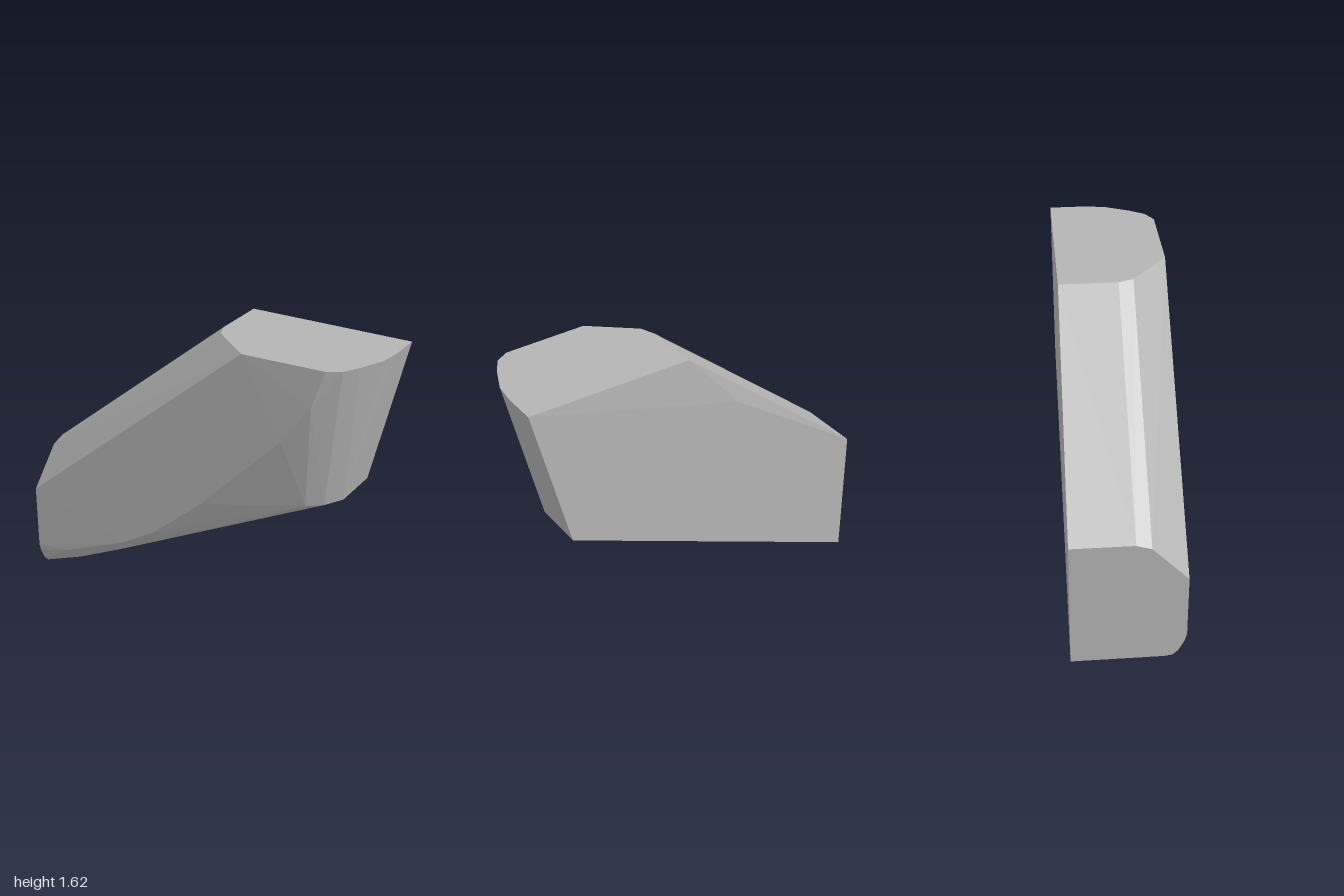
import * as THREE from 'three';
import { ConvexGeometry } from 'three/addons/geometries/ConvexGeometry.js';

export function createModel() {
  const group = new THREE.Group();
  group.name = 'slantedBlock';
  const grey = new THREE.MeshStandardMaterial({ color: 0xb4b4b4 });
  grey.name = 'plain grey';

  // flat top outline, [x, z] at y = 1.625
  const top = [
    [0.08, -0.285], [0.08, 0.03], [0.11, 0.11], [0.34, 0.3], [0.8, 0.287],
    [0.87, 0.243], [0.92, 0.16], [0.98, 0.02], [0.995, -0.1], [0.995, -0.285],
  ].map(([x, z]) => [x, 1.625, z]);

  // upright end cap, [y, z] at x = -1
  const cap = [
    [0, -0.305], [0.745, -0.305], [0.745, 0.03], [0.72, 0.11], [0.515, 0.3],
    [0.15, 0.298], [0.1, 0.285], [0.04, 0.255], [0.01, 0.225], [0.003, 0.18],
  ].map(([y, z]) => [-1, y, z]);

  // lower corner of the far end
  const corner = [
    [0.79, 0.8, -0.285], [0.79, 0.8, 0], [0.73, 0.797, 0.1], [0.65, 0.795, 0.16],
  ];

  // lower border of the front face, where it rolls under
  const roll = [
    [-0.8, 0.17, 0.298], [-0.4, 0.34, 0.3], [-0.2, 0.46, 0.3],
    [0.1, 0.72, 0.3], [0.57, 1.2, 0.298], [0.73, 1.42, 0.294],
  ];

  // rounded bottom edge and the slight bulge of the back
  const underEdge = [[-0.75, 0.11, 0.235], [-0.45, 0.255, 0.24], [0.1, 0.53, 0.225]];
  const back = [[-0.22, 1.28, -0.305]];

  const points = [...top, ...cap, ...corner, ...roll, ...underEdge, ...back]
    .map((p) => new THREE.Vector3(...p));
  const body = new THREE.Mesh(new ConvexGeometry(points), grey);
  body.name = 'body';
  group.add(body);
  return group;
}
